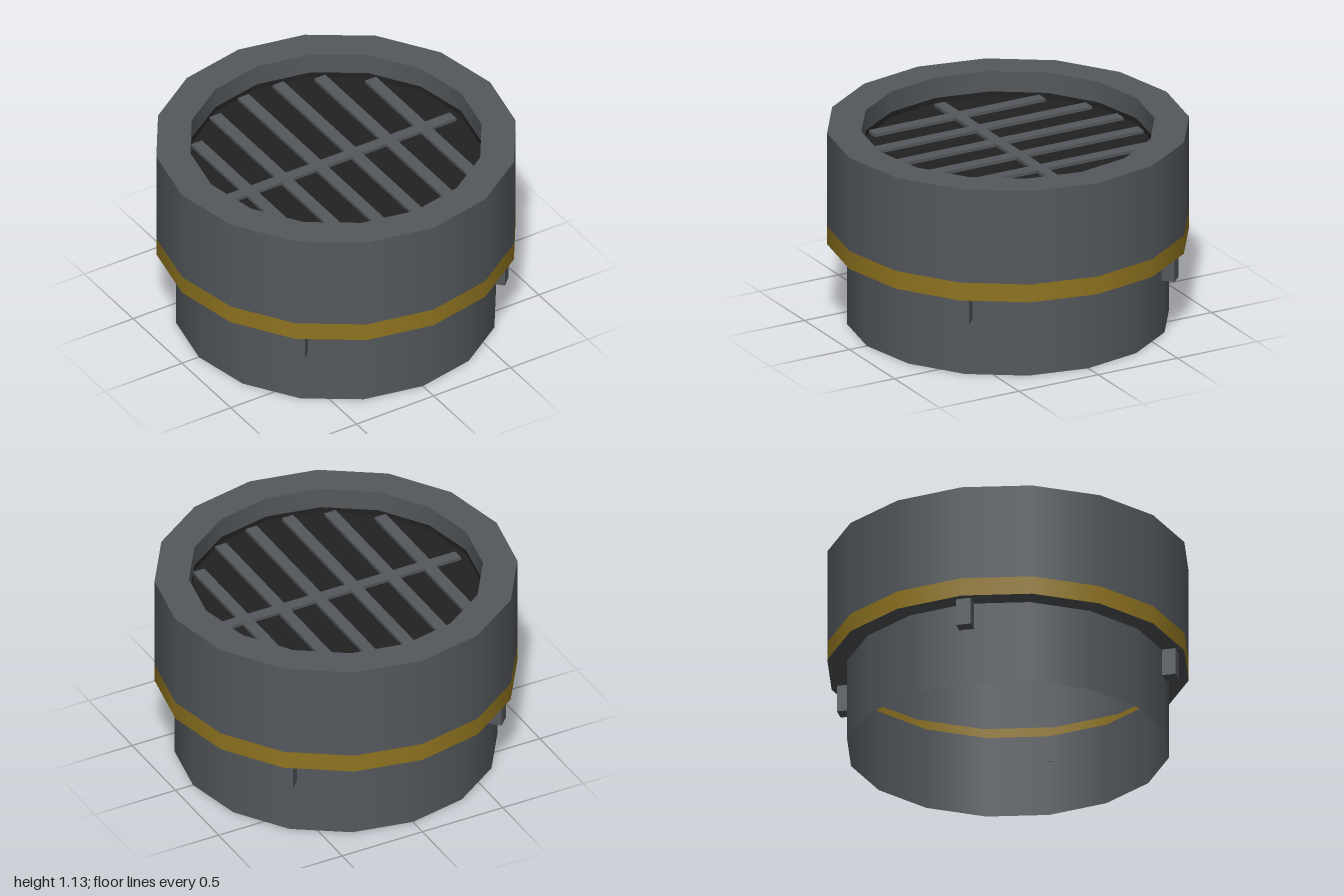
import * as THREE from 'three';

const SIDES = 16;

export function createModel() {
  const model = new THREE.Group();
  const material = (name, color) => {
    const m = new THREE.MeshStandardMaterial({ color, side: THREE.DoubleSide });
    m.name = name;
    return m;
  };
  const metal = material('grey metal', 0x55595d);
  const brass = material('dull yellow', 0x8f7420);
  const dark = material('dark interior', 0x222222);

  const add = (name, geometry, mat) => {
    const mesh = new THREE.Mesh(geometry, mat);
    mesh.name = name;
    model.add(mesh);
    return mesh;
  };
  // One lathed strip between two [radius, height] points; separate strips keep rims sharp
  const strip = (name, mat, a, b) =>
    add(name, new THREE.LatheGeometry([new THREE.Vector2(...a), new THREE.Vector2(...b)], SIDES), mat);

  // Hollow shell, from the open foot up over the rim and down inside
  strip('lowerSleeve', metal, [0.89, 0], [0.89, 0.475]);
  strip('shoulder', metal, [0.89, 0.475], [1, 0.475]);
  strip('yellowBand', brass, [1, 0.475], [1, 0.58]);
  strip('upperCollar', metal, [1, 0.58], [1, 1.13]);
  strip('topRim', metal, [1, 1.13], [0.81, 1.13]);
  strip('innerWall', metal, [0.81, 1.13], [0.81, 1.01]);
  strip('recessEdge', dark, [0.81, 1.01], [0.81, 0.98]);
  strip('recessFloor', dark, [0.81, 0.98], [0, 0.98]);

  // Grille bars, each trimmed to fit the round opening
  const barY = 0.988;
  for (const x of [-0.565, -0.34, -0.113, 0.113, 0.34, 0.565]) {
    const length = 2 * Math.sqrt(0.78 ** 2 - x ** 2);
    add('grilleBar', new THREE.BoxGeometry(0.07, 0.02, length), metal).position.set(x, barY, 0);
  }
  add('grilleCrossbar', new THREE.BoxGeometry(1.52, 0.022, 0.065), metal).position.set(0, barY, 0);

  // Four locking lugs under the shoulder, on the diagonals
  for (let i = 0; i < 4; i++) {
    const angle = Math.PI / 4 + i * Math.PI / 2;
    const lug = add('lockingLug', new THREE.BoxGeometry(0.083, 0.155, 0.075), metal);
    lug.position.set(0.922 * Math.sin(angle), 0.3975, 0.922 * Math.cos(angle));
    lug.rotation.y = angle;
  }
  return model;
}
